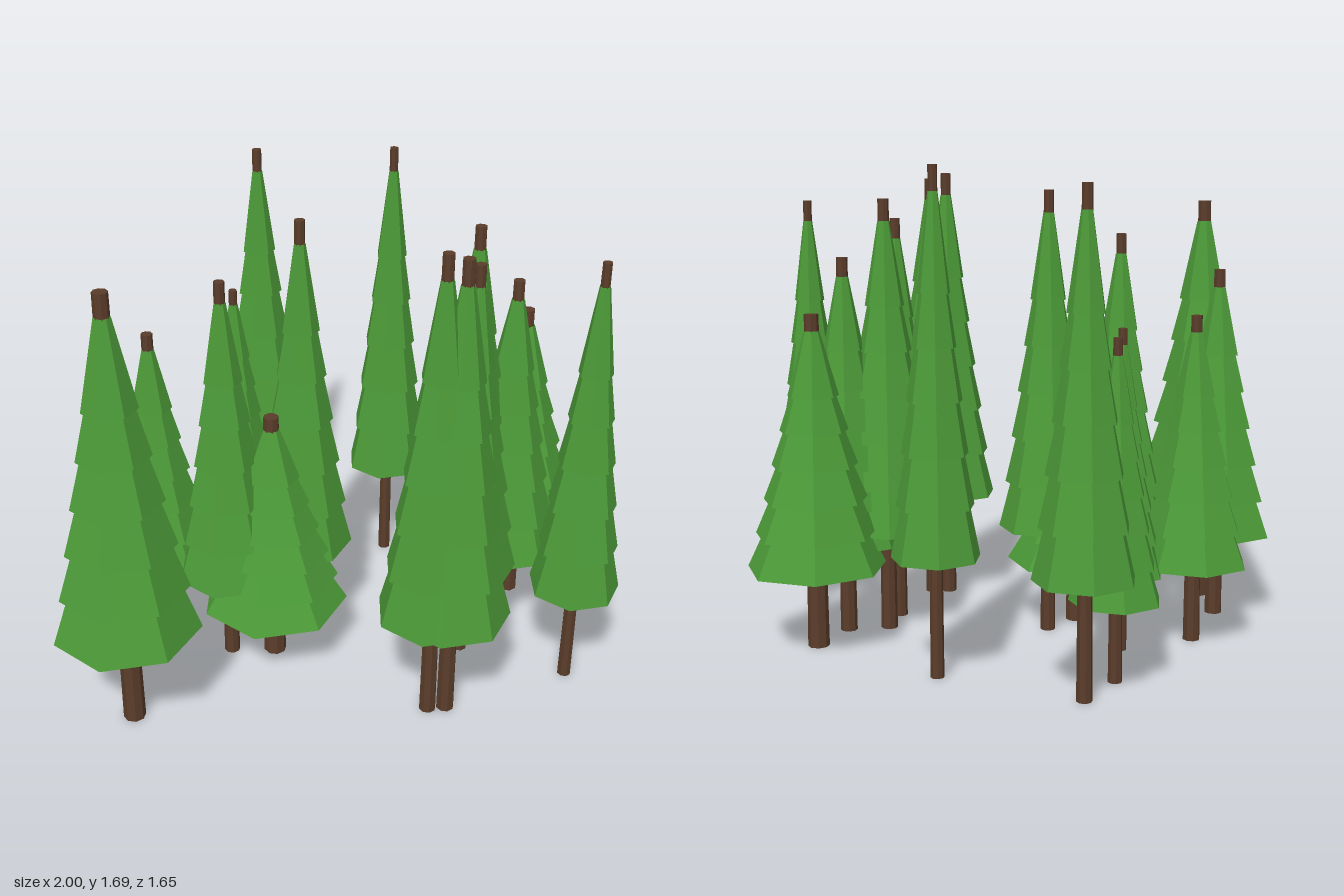
import * as THREE from 'three';

const foliage = new THREE.MeshStandardMaterial({ color: 0x4c9a38, flatShading: true });
foliage.name = 'needle green';
const bark = new THREE.MeshStandardMaterial({ color: 0x5a3d2a, flatShading: true });
bark.name = 'bark brown';

// x, z, height, foliage radius of every tree
const TREES = [
  [-0.10, -0.66, 1.63, 0.172], [-0.23, -0.50, 1.145, 0.157], [0.35, -0.38, 1.69, 0.153],
  [-0.59, -0.10, 1.18, 0.202], [-0.31, -0.18, 1.145, 0.155], [-0.755, 0.21, 1.325, 0.216],
  [-0.757, 0.457, 1.58, 0.25], [-0.37, 0.165, 1.46, 0.184], [-0.09, 0.085, 1.617, 0.181],
  [-0.215, 0.195, 0.97, 0.262], [0.752, 0.0, 1.19, 0.251], [0.495, 0.18, 1.585, 0.2],
  [0.645, 0.17, 1.378, 0.203], [0.45, 0.33, 1.515, 0.184], [0.775, 0.555, 1.58, 0.157],
  [0.24, 0.635, 1.685, 0.191], [0.302, 0.64, 1.665, 0.202],
];

const SIDES = 7;
const TIERS = 6;

// Tapered prism standing on y0, with one corner pointing to -z
function frustum(name, material, rBottom, rTop, y0, y1, sides) {
  const geometry = new THREE.CylinderGeometry(rTop, rBottom, y1 - y0, sides, 1, false, Math.PI);
  geometry.translate(0, (y0 + y1) / 2, 0);
  const mesh = new THREE.Mesh(geometry, material);
  mesh.name = name;
  return mesh;
}

function makeTree(height, radius) {
  const tree = new THREE.Group();
  // Trunk runs the whole height and pokes out at the tip
  tree.add(frustum('trunk', bark, radius * 0.153, radius * 0.1, 0, height, 8));

  // Overlapping skirts, narrowing evenly upward
  const tierY = (k) => height * (0.242 + 0.1034 * k);
  const tierR = (k) => radius * (1 - 0.127 * k);
  for (let k = 0; k < TIERS; k++) {
    const last = k === TIERS - 1;
    const top = last ? height * 0.95 : tierY(k + 1) + height * 0.006;
    const rTop = last ? radius * 0.11 : tierR(k + 1) * 0.86;
    tree.add(frustum(`foliageTier${k + 1}`, foliage, tierR(k), rTop, tierY(k), top, SIDES));
  }
  return tree;
}

export function createModel() {
  const grove = new THREE.Group();
  grove.name = 'pineGrove';
  TREES.forEach(([x, z, height, radius], i) => {
    const tree = makeTree(height, radius);
    tree.name = `pineTree${i + 1}`;
    tree.position.set(x, 0, z);
    grove.add(tree);
  });
  return grove;
}
